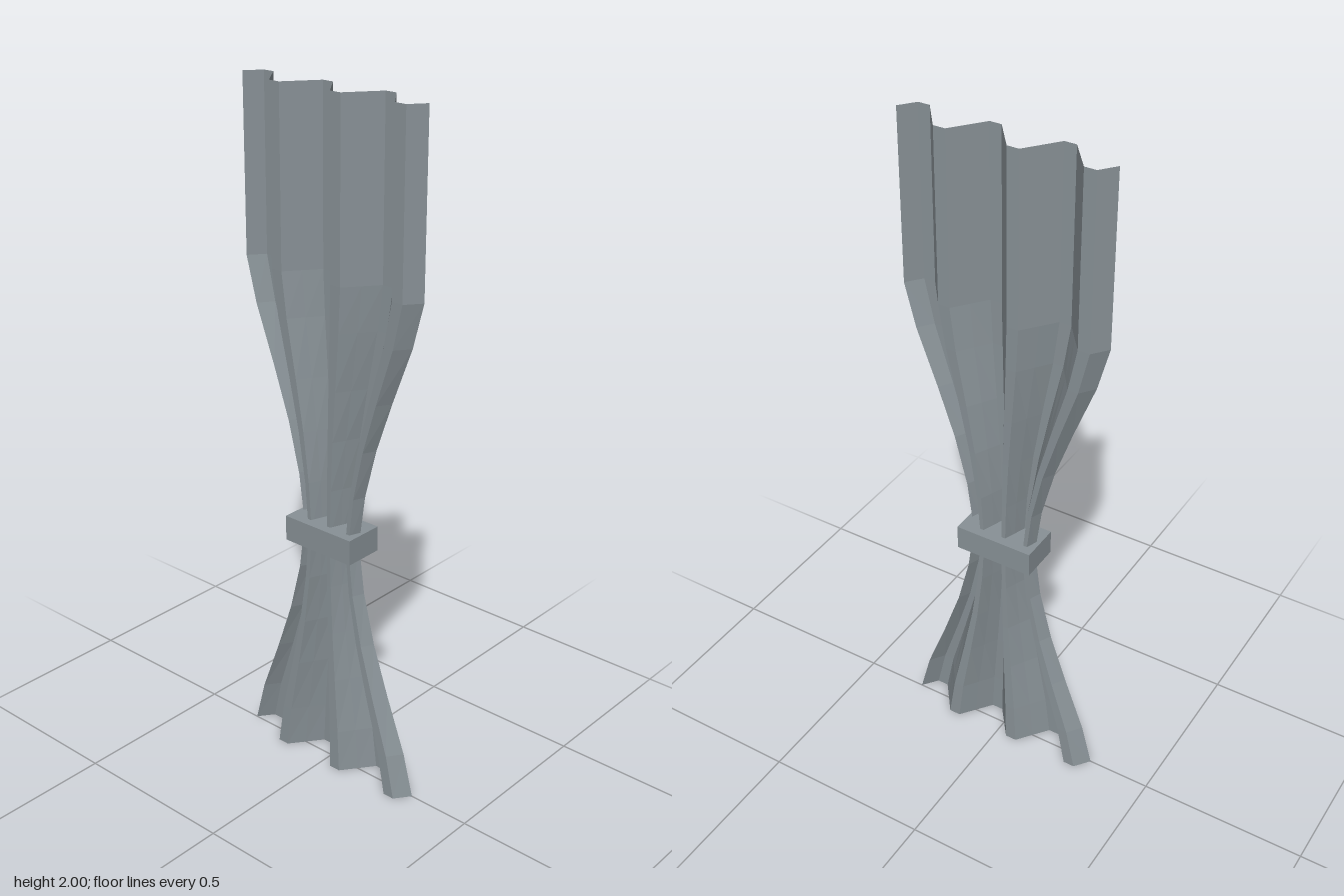
import * as THREE from 'three';

// Half width of the cloth at distance d above or below the tie
const GATHER = [[0, 0.102], [0.15, 0.122], [0.3, 0.16], [0.45, 0.212], [0.62, 0.276], [0.75, 0.31]];
const TIE_Y = 0.75;
const FOLD = [0, -1, -1, 0, 1, 1]; // one pleat, front to back
const STEPS = 18;

// Pleated sheet built from horizontal cross-sections
function clothGeometry() {
  const rows = [
    ...GATHER.slice(1).reverse().map(([d, w]) => [TIE_Y - d, w]),
    ...GATHER.map(([d, w]) => [TIE_Y + d, w]),
    [2, 0.31],
  ];
  const positions = [];
  const indices = [];
  rows.forEach(([y, w], r) => {
    const depth = 0.033 + (w - 0.1) / 0.21 * 0.012;
    for (let i = 0; i <= STEPS; i++) {
      positions.push((i / STEPS * 2 - 1) * w, y, FOLD[i % 6] * depth);
      if (r > 0 && i > 0) {
        const b = r * (STEPS + 1) + i;
        const a = b - STEPS - 1;
        indices.push(a - 1, a, b, a - 1, b, b - 1);
      }
    }
  });
  const indexed = new THREE.BufferGeometry();
  indexed.setAttribute('position', new THREE.Float32BufferAttribute(positions, 3));
  indexed.setIndex(indices);
  const geometry = indexed.toNonIndexed(); // keeps the folds sharp
  geometry.computeVertexNormals();
  return geometry;
}

export function createModel() {
  const group = new THREE.Group();
  group.name = 'tiedCurtain';
  const fabric = new THREE.MeshStandardMaterial({ color: 0x889196, side: THREE.DoubleSide, flatShading: true });
  fabric.name = 'greyFabric';

  const cloth = new THREE.Mesh(clothGeometry(), fabric);
  cloth.name = 'pleatedCloth';

  // Band that gathers the cloth
  const tie = new THREE.Mesh(new THREE.BoxGeometry(0.237, 0.075, 0.12), fabric);
  tie.name = 'tieBand';
  tie.position.y = TIE_Y;

  group.add(cloth, tie);
  return group;
}
